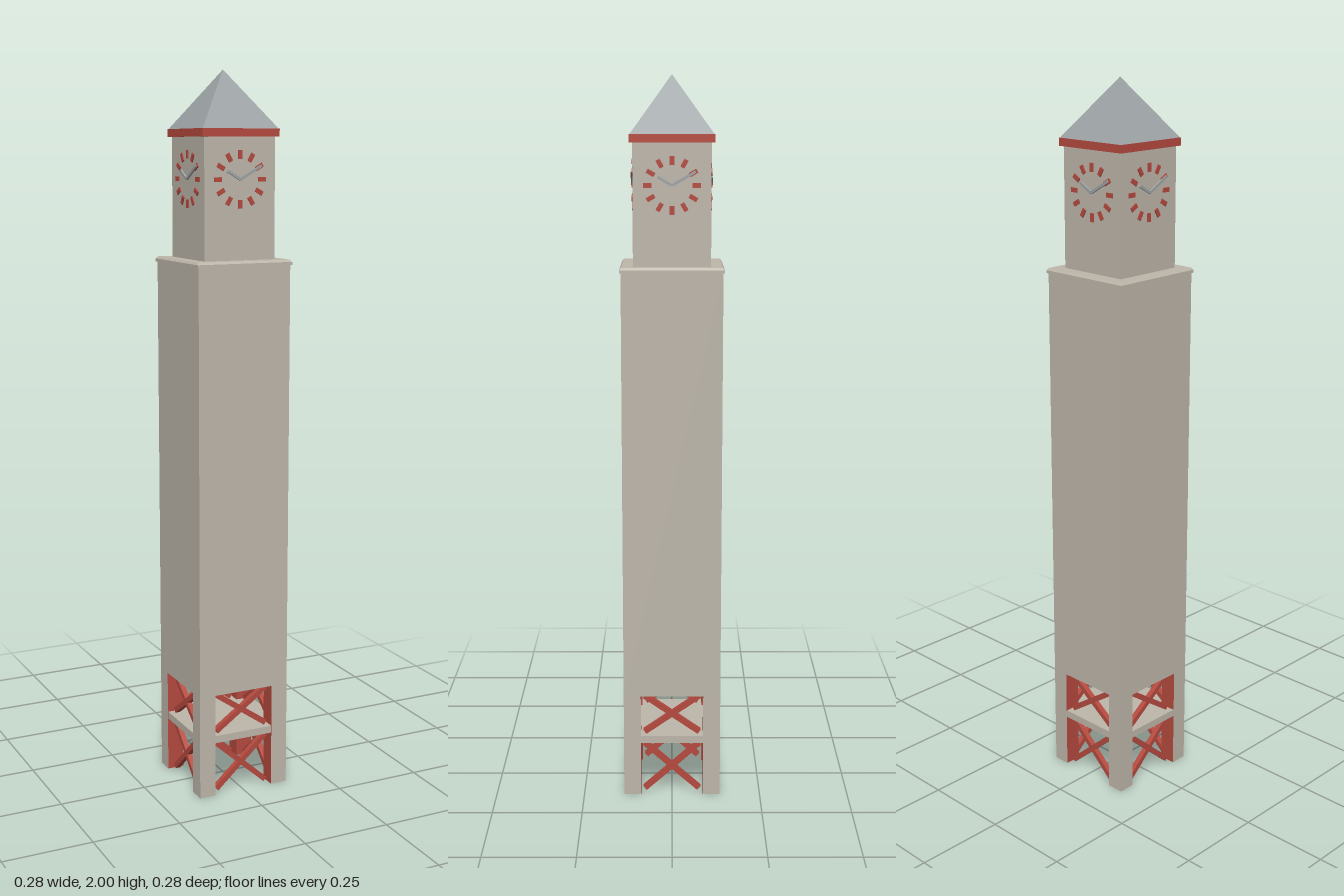
import * as THREE from 'three';

const material = (name, color) => {
  const m = new THREE.MeshStandardMaterial({ color });
  m.name = name;
  return m;
};

export function createModel() {
  const stone = material('stone', 0xbdb6aa);
  const grey = material('slate grey', 0x9da3a5);
  const red = material('brick red', 0xb54a3f);

  const tower = new THREE.Group();
  tower.name = 'clockTower';

  const add = (parent, name, geometry, mat, x = 0, y = 0, z = 0) => {
    const mesh = new THREE.Mesh(geometry, mat);
    mesh.name = name;
    mesh.position.set(x, y, z);
    parent.add(mesh);
    return mesh;
  };
  // Square block between two heights
  const block = (name, half, y0, y1, mat) =>
    add(tower, name, new THREE.BoxGeometry(half * 2, y1 - y0, half * 2), mat, 0, (y0 + y1) / 2, 0);
  // Four-sided tapered block, flat shaded
  const taper = (name, bottom, top, y0, y1, mat) => {
    const g = new THREE.CylinderGeometry(top * Math.SQRT2, bottom * Math.SQRT2, y1 - y0, 4)
      .rotateY(Math.PI / 4).toNonIndexed();
    g.computeVertexNormals();
    return add(tower, name, g, mat, 0, (y0 + y1) / 2, 0);
  };

  const half = 0.136, inner = 0.088, legTop = 0.297;
  const leg = half - inner, mid = (half + inner) / 2;
  const greyBelow = [stone, stone, stone, grey, stone, stone];

  // Four corner legs with red inner faces
  for (const sx of [-1, 1]) for (const sz of [-1, 1]) {
    const mats = Array(6).fill(stone);
    mats[sx > 0 ? 1 : 0] = red;
    mats[sz > 0 ? 5 : 4] = red;
    add(tower, 'leg', new THREE.BoxGeometry(leg, legTop, leg), mats, sx * mid, legTop / 2, sz * mid);
  }

  // Intermediate floor, shaft and ledge
  block('floorSlab', half - 0.001, 0.156, 0.177, greyBelow);
  block('shaft', half, legTop, 1.488, greyBelow);
  block('ledge', 0.14, 1.486, 1.494, stone);
  taper('ledgeBevel', 0.14, 0.135, 1.494, 1.5, stone);

  // Clock storey, cornice and pyramid roof
  const face = 0.104;
  block('clockStorey', face, 1.498, 1.828, stone);
  block('cornice', 0.113, 1.824, 1.845, red);
  taper('roof', 0.111, 0, 1.845, 2, grey);

  // Each side: crossed braces in both openings and a clock
  for (let i = 0; i < 4; i++) {
    const side = new THREE.Group();
    side.name = 'towerSide';
    side.rotation.y = i * Math.PI / 2;
    tower.add(side);

    for (const [y0, y1] of [[0.01, 0.148], [0.183, 0.291]]) {
      const w = 0.154, h = y1 - y0;
      for (const s of [-1, 1]) {
        const brace = add(side, 'crossBrace', new THREE.BoxGeometry(Math.hypot(w, h), 0.015, 0.015),
          red, 0, (y0 + y1) / 2, mid);
        brace.rotation.z = s * Math.atan2(h, w);
      }
    }

    const clock = new THREE.Group();
    clock.name = 'clock';
    clock.position.set(0, 1.713, face);
    side.add(clock);
    for (let k = 0; k < 12; k++) {
      const a = k * Math.PI / 6;
      const mark = add(clock, 'hourMark', new THREE.BoxGeometry(0.012, 0.023, 0.004), red,
        Math.sin(a) * 0.065, Math.cos(a) * 0.065, 0.001);
      mark.rotation.z = -a;
    }
    // Hands at ten past ten
    for (const [name, length, a] of [['hourHand', 0.044, -Math.PI / 3], ['minuteHand', 0.072, Math.PI / 3]]) {
      const hand = add(clock, name, new THREE.BoxGeometry(0.007, length, 0.005), grey,
        Math.sin(a) * length / 2, Math.cos(a) * length / 2, 0.0035);
      hand.rotation.z = -a;
    }
  }
  return tower;
}
